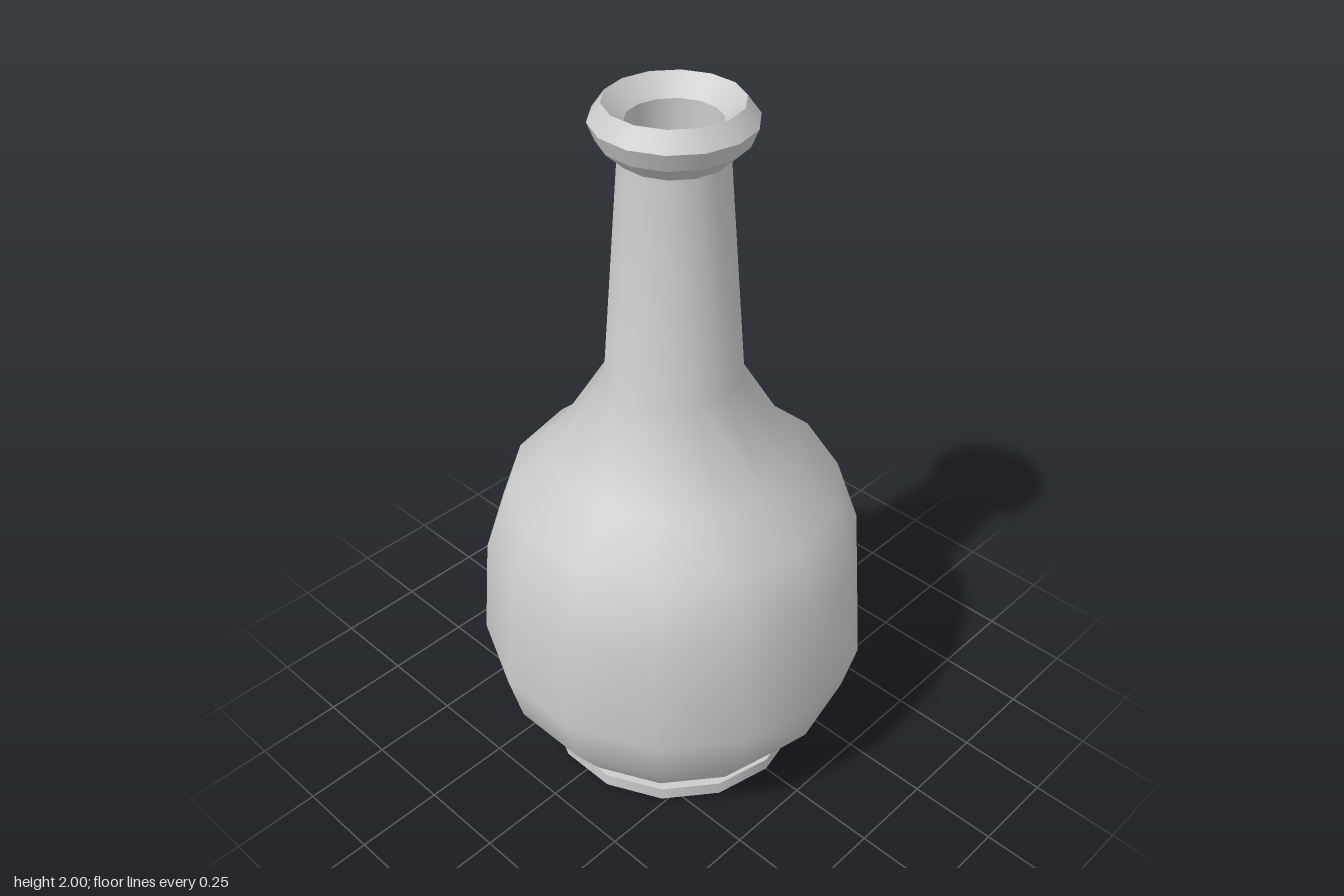
import * as THREE from 'three';

const SIDES = 14;
const material = new THREE.MeshStandardMaterial({ color: 0xcccccc });

// Smoothly shaded turned surface; the profile runs bottom to top on the outside
function turned(name, profile) {
  const points = profile.map(([r, y]) => new THREE.Vector2(r, y));
  const mesh = new THREE.Mesh(new THREE.LatheGeometry(points, SIDES), material);
  mesh.name = name;
  return mesh;
}

// Turned part with a hard edge at every profile point
function turnedSharp(name, profile) {
  const group = new THREE.Group();
  group.name = name;
  for (let i = 0; i < profile.length - 1; i++) {
    group.add(turned(`${name}Band${i + 1}`, [profile[i], profile[i + 1]]));
  }
  return group;
}

export function createModel() {
  const model = new THREE.Group();
  model.name = 'bottle';

  // Flat foot disc and the narrower collar above it
  model.add(turnedSharp('foot', [[0, 0], [0.38, 0], [0.38, 0.04], [0.295, 0.04], [0.295, 0.073]]));

  // Sloped underside of the belly
  model.add(turned('bellyUnderside', [[0.295, 0.073], [0.42, 0.113]]));

  // Belly, shoulder and tapering neck in one smooth surface
  model.add(turned('bellyAndNeck', [
    [0.42, 0.113], [0.515, 0.25], [0.553, 0.4], [0.528, 0.7], [0.46, 0.895],
    [0.335, 1.005], [0.185, 1.25], [0.138, 1.86],
  ]));

  // Closed floor inside the mouth
  model.add(turned('mouthFloor', [[0.138, 1.86], [0, 1.86]]));

  // Faceted lip ring with a funnelled opening
  model.add(turnedSharp('lip', [
    [0.12, 1.86], [0.14, 1.86], [0.188, 1.905], [0.207, 1.953],
    [0.173, 2], [0.12, 1.95], [0.12, 1.86],
  ]));

  return model;
}
